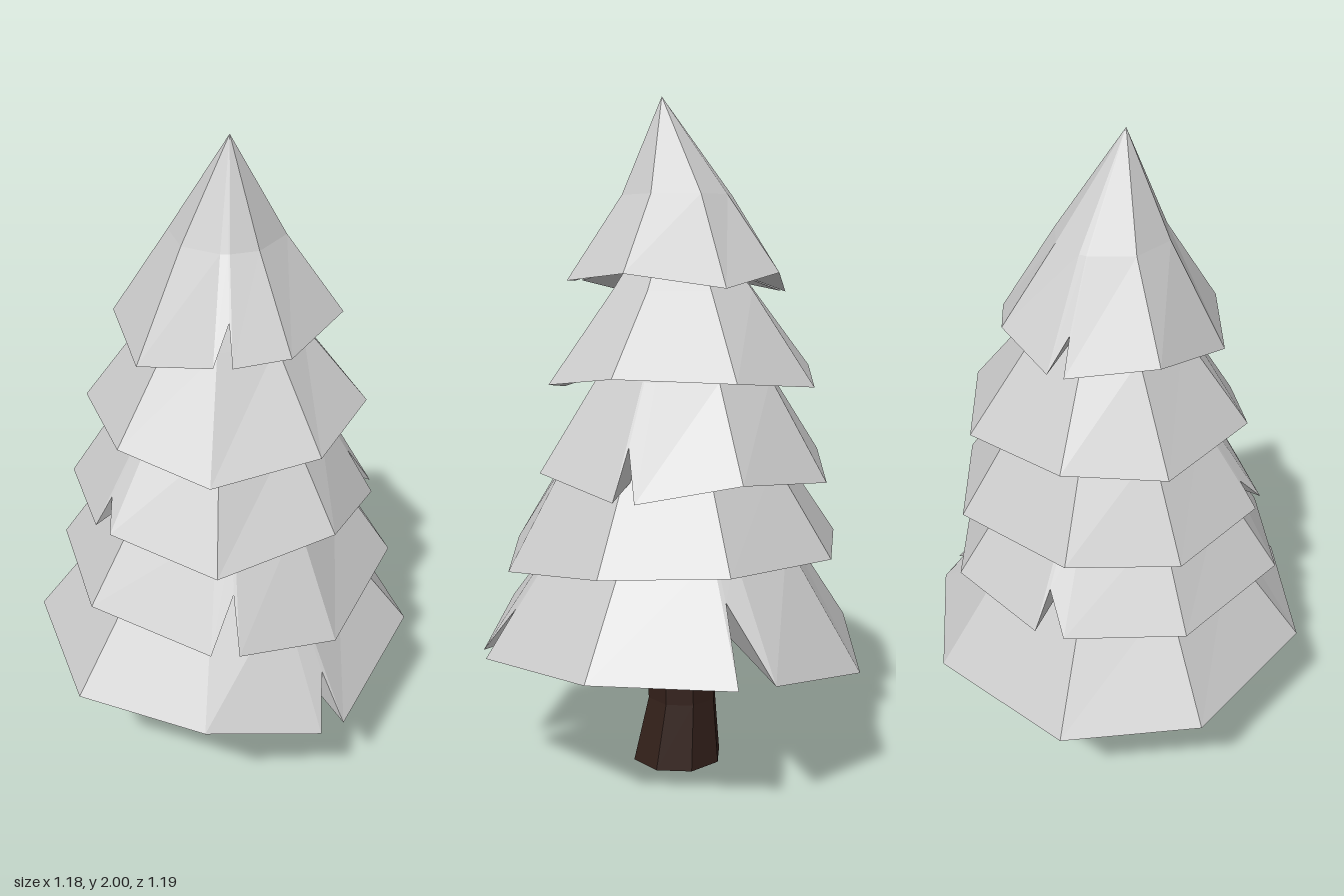
import * as THREE from 'three';

const foliageMaterial = new THREE.MeshStandardMaterial({ color: 0xcccccc, flatShading: true, side: THREE.DoubleSide });
const barkMaterial = new THREE.MeshStandardMaterial({ color: 0x33201a, flatShading: true });

// Ragged eight-cornered skirt from rim to shoulder, a cap up to the apex and a
// hollow underside. A corner listed in slits ([degrees wide, depth]) is torn open:
// one edge and the notch stay at its bearing, the other edge swings aside.
function tierGeometry({ radius, center: [cx, cz], bearings, heights, slits, shoulder, apex, hollow }) {
  const rim = [];
  const ring = [];
  const addCorner = (degrees, y, depth) => {
    const a = THREE.MathUtils.degToRad(degrees);
    const polar = (r, h) => new THREE.Vector3(cx + r * Math.cos(a), h, cz + r * Math.sin(a));
    rim.push(polar(
      THREE.MathUtils.lerp(radius, shoulder.radius, depth),
      THREE.MathUtils.lerp(y, shoulder.y, depth),
    ));
    ring.push(polar(shoulder.radius, shoulder.y));
  };
  bearings.forEach((degrees, i) => {
    const y = heights[i];
    if (!slits[i]) {
      addCorner(degrees, y, 0);
      return;
    }
    const [width, depth] = slits[i];
    const notch = degrees + width * 0.15;
    const edges = [degrees, degrees + width].sort((a, b) => a - b);
    addCorner(edges[0], y, 0);
    addCorner(notch, y, depth);
    addCorner(edges[1], y, 0);
  });

  const n = rim.length;
  const points = [...rim, ...ring, new THREE.Vector3(...apex), new THREE.Vector3(cx, hollow, cz)];
  const index = [];
  for (let i = 0; i < n; i++) {
    const j = (i + 1) % n;
    index.push(i, n + i, j, j, n + i, n + j); // skirt
    index.push(n + i, 2 * n, n + j);          // cap
    index.push(i, j, 2 * n + 1);              // underside
  }
  const geometry = new THREE.BufferGeometry().setFromPoints(points);
  geometry.setIndex(index);
  const flat = geometry.toNonIndexed();
  flat.computeVertexNormals();
  return flat;
}

// Eight-sided trunk, flared at the foot
function trunkGeometry() {
  const levels = [[0, 0.14, 0.016, 0.005], [0.2, 0.108, 0.027, -0.007], [0.7, 0.1, 0.02, 0]]; // y, radius, centre x, z
  const geometry = new THREE.CylinderGeometry(1, 1, 2, 8, 2);
  const p = geometry.attributes.position;
  for (let i = 0; i < p.count; i++) {
    const [y, r, cx, cz] = levels[Math.round(p.getY(i)) + 1];
    p.setXYZ(i, cx + p.getX(i) * r, y, cz + p.getZ(i) * r);
  }
  geometry.computeVertexNormals();
  return geometry;
}

export function createModel() {
  const tree = new THREE.Group();
  tree.name = 'pineTree';

  const addPart = (name, geometry, material) => {
    const mesh = new THREE.Mesh(geometry, material);
    mesh.name = name;
    tree.add(mesh);
  };

  addPart('trunk', trunkGeometry(), barkMaterial);

  addPart('bottomTier', tierGeometry({
    radius: 0.594, center: [0.004, 0],
    bearings: [2.5, 43, 91, 133, 174, 224, 265, 316],
    heights: [0.415, 0.42, 0.367, 0.44, 0.42, 0.4, 0.38, 0.36],
    slits: { 0: [-10.5, 0.65], 2: [8, 0.4] },
    shoulder: { radius: 0.36, y: 0.72 }, apex: [0, 0.9, 0], hollow: 0.55,
  }), foliageMaterial);

  addPart('lowerTier', tierGeometry({
    radius: 0.512, center: [0.008, 0.012],
    bearings: [1, 42, 90, 124, 178, 226, 276, 317],
    heights: [0.7, 0.69, 0.63, 0.665, 0.7, 0.69, 0.695, 0.69],
    slits: { 3: [9, 0.5], 6: [-10, 0.4] },
    shoulder: { radius: 0.33, y: 0.96 }, apex: [0, 1.15, 0], hollow: 0.83,
  }), foliageMaterial);

  addPart('middleTier', tierGeometry({
    radius: 0.46, center: [0.02, -0.02],
    bearings: [-1, 44, 84, 130, 180, 223, 264, 318],
    heights: [0.94, 0.89, 0.93, 0.87, 0.935, 0.92, 0.94, 0.91],
    slits: { 1: [-8, 0.45], 4: [-8, 0.3] },
    shoulder: { radius: 0.28, y: 1.2 }, apex: [0, 1.42, 0], hollow: 1.06,
  }), foliageMaterial);

  addPart('upperTier', tierGeometry({
    radius: 0.416, center: [0.028, -0.015],
    bearings: [-1, 47, 89, 134, 174, 225, 266, 317],
    heights: [1.21, 1.22, 1.18, 1.14, 1.19, 1.18, 1.21, 1.18],
    slits: {},
    shoulder: { radius: 0.22, y: 1.45 }, apex: [0, 1.75, 0], hollow: 1.32,
  }), foliageMaterial);

  addPart('topTier', tierGeometry({
    radius: 0.326, center: [0.018, 0.006],
    bearings: [-6, 45, 97, 126, 177, 226, 272, 316],
    heights: [1.46, 1.5, 1.475, 1.47, 1.42, 1.47, 1.44, 1.5],
    slits: { 3: [9, 0.4], 6: [9, 0.35] },
    shoulder: { radius: 0.163, y: 1.72 }, apex: [-0.005, 2, 0.045], hollow: 1.56,
  }), foliageMaterial);

  return tree;
}
